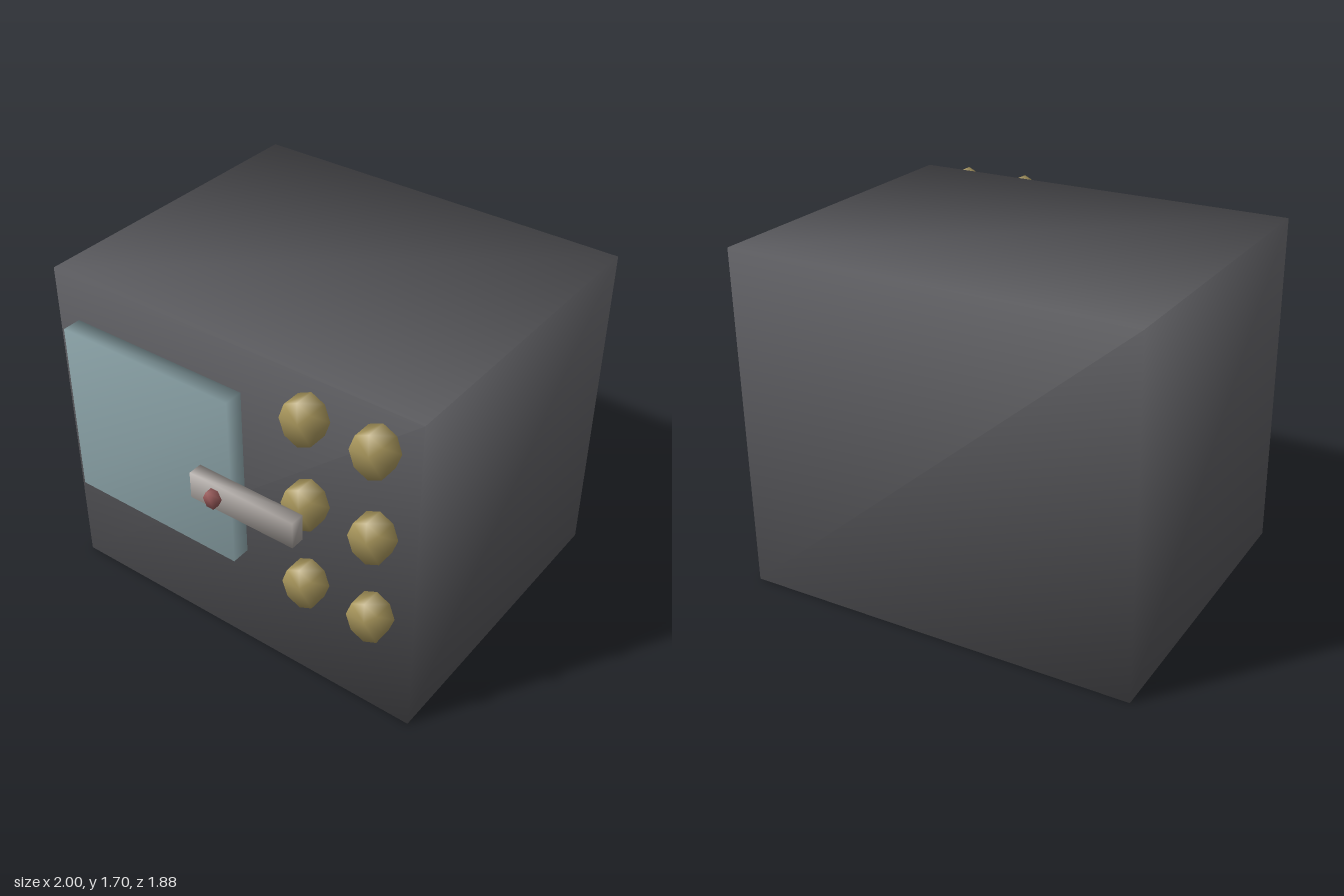
import * as THREE from 'three';
import { mergeVertices } from 'three/addons/utils/BufferGeometryUtils.js';

// Weld corners so the shading flows smoothly over the edges
function weld(geometry) {
  geometry.deleteAttribute('normal');
  geometry.deleteAttribute('uv');
  const welded = mergeVertices(geometry, 1e-4);
  welded.computeVertexNormals();
  return welded;
}

function addPart(group, name, geometry, color) {
  const mesh = new THREE.Mesh(weld(geometry), new THREE.MeshStandardMaterial({ color }));
  mesh.name = name;
  group.add(mesh);
  return mesh;
}

// Box given by its limits on each axis
function addBox(group, name, [x0, x1], [y0, y1], [z0, z1], color) {
  const mesh = addPart(group, name, new THREE.BoxGeometry(x1 - x0, y1 - y0, z1 - z0), color);
  mesh.position.set((x0 + x1) / 2, (y0 + y1) / 2, (z0 + z1) / 2);
}

// Faceted disc facing the front, with its own half width and half height
function addDisc(group, name, sides, turn, [x, y, z], [rx, ry], depth, color) {
  const geometry = new THREE.CylinderGeometry(1, 1, depth, sides);
  geometry.rotateX(Math.PI / 2).rotateZ(turn).scale(rx, ry, 1);
  addPart(group, name, geometry, color).position.set(x, y, z);
}

export function createModel() {
  const model = new THREE.Group();
  model.name = 'cabinet';

  // Main housing
  addBox(model, 'body', [-1, 1], [0, 1.7], [-0.94, 0.675], 0x59595d);

  // Front window panel
  addBox(model, 'window', [-0.865, 0.09], [0.58, 1.475], [0.685, 0.78], 0x8ba3a8);

  // Two columns of three knobs
  for (const x of [0.497, 0.842]) {
    for (const y of [0.67, 1.12, 1.565]) {
      addDisc(model, 'knob', 8, 0, [x, y, 0.773], [0.094, 0.11], 0.095, 0xa8965c);
    }
  }

  // Crossbar and its pivot pin
  addBox(model, 'crossbar', [-0.03, 0.53], [0.99, 1.125], [0.835, 0.905], 0xa8a29e);
  addDisc(model, 'pin', 6, Math.PI / 2, [0.11, 1.06, 0.92], [0.038, 0.046], 0.04, 0x965858);

  return model;
}
